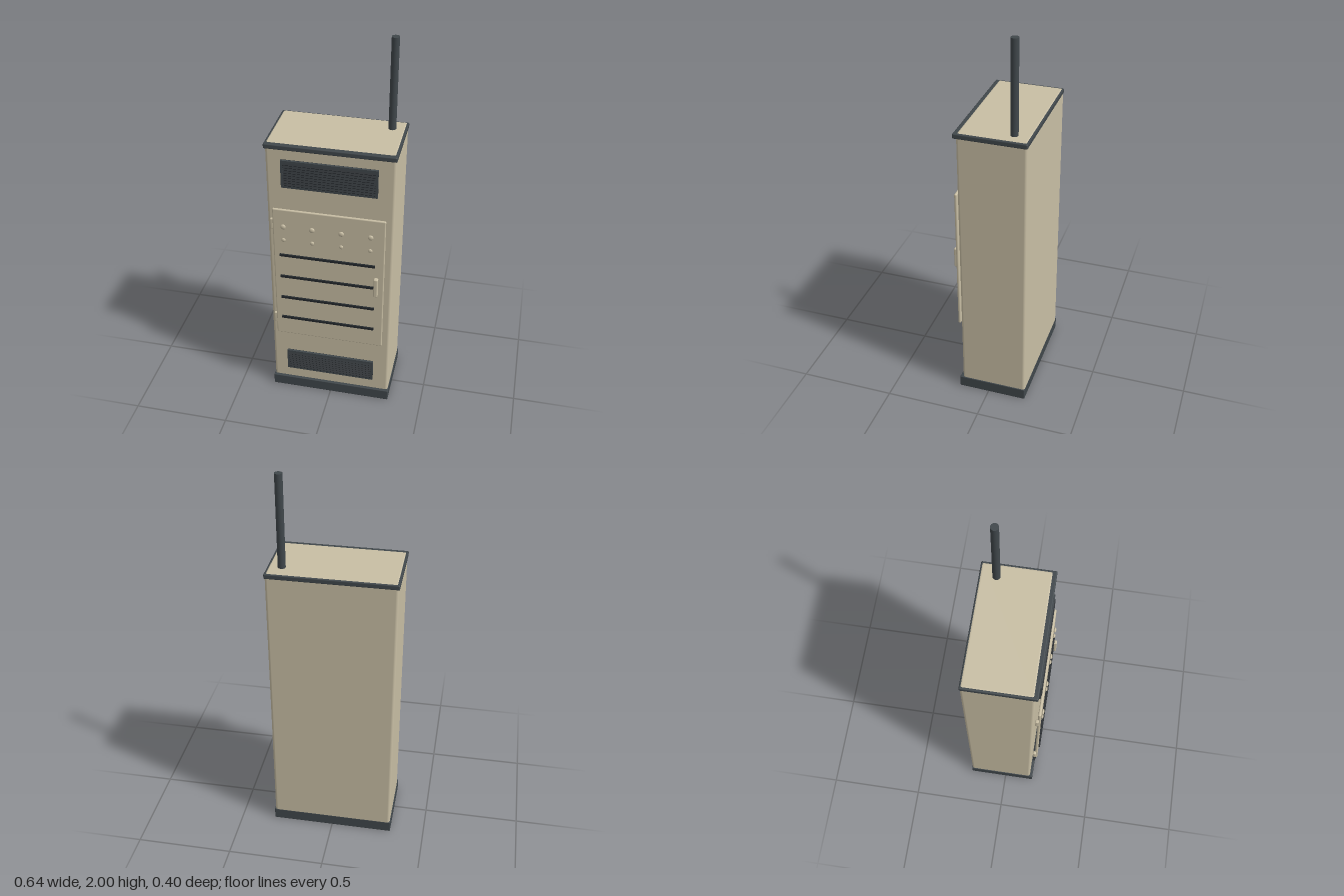
import * as THREE from 'three';
import { RoundedBoxGeometry } from 'three/addons/geometries/RoundedBoxGeometry.js';

export function createModel() {
  const group = new THREE.Group();
  const paint = new THREE.MeshStandardMaterial({ color: 0xc8bea4 });
  paint.name = 'beigePaint';
  const trim = new THREE.MeshStandardMaterial({ color: 0x40474b });
  trim.name = 'darkTrim';
  const black = new THREE.MeshStandardMaterial({ color: 0x23282c });
  black.name = 'blackMetal';

  const add = (name, geometry, material, parent = group) => {
    const mesh = new THREE.Mesh(geometry, material);
    mesh.name = name;
    parent.add(mesh);
    return mesh;
  };
  // Box given by its limits; r > 0 rounds the edges
  const block = (name, [x0, x1], [y0, y1], [z0, z1], material, r = 0, parent = group) => {
    const size = [x1 - x0, y1 - y0, z1 - z0];
    const geometry = r ? new RoundedBoxGeometry(...size, 3, r) : new THREE.BoxGeometry(...size);
    const mesh = add(name, geometry, material, parent);
    mesh.position.set((x0 + x1) / 2, (y0 + y1) / 2, (z0 + z1) / 2);
    return mesh;
  };

  // Cabinet with plinth and top trim
  block('cabinet', [-0.317, 0.317], [0.002, 1.53], [-0.2, 0.145], paint, 0.014);
  block('plinth', [-0.321, 0.321], [0, 0.062], [-0.201, 0.16], trim, 0.004);
  block('topTrim', [-0.321, 0.321], [1.502, 1.528], [-0.201, 0.16], trim, 0.006);

  // Antenna mast
  const mast = add('mast', new THREE.CylinderGeometry(0.019, 0.019, 0.48, 24), trim);
  mast.position.set(0.25, 1.76, -0.118);

  // Louvred vents above and below the door
  const vent = (name, y0, y1, count) => {
    const g = new THREE.Group();
    g.name = name;
    group.add(g);
    const x0 = -0.238, x1 = 0.235, b = 0.012, z = [0.152, 0.164];
    block('ventBack', [x0, x1], [y0, y1], [0.151, 0.155], black, 0, g);
    block('ventFrameTop', [x0, x1], [y1 - b, y1], z, trim, 0, g);
    block('ventFrameBottom', [x0, x1], [y0, y0 + b], z, trim, 0, g);
    block('ventFrameSide', [x0, x0 + b], [y0, y1], z, trim, 0, g);
    block('ventFrameSide', [x1 - b, x1], [y0, y1], z, trim, 0, g);
    const step = (y1 - y0 - 2 * b) / count;
    for (let i = 0; i < count; i++) {
      const y = y0 + b + step * (i + 0.5);
      const slat = block('louvre', [x0 + b, x1 - b], [y - 0.002, y + 0.002], [0.153, 0.168], black, 0, g);
      slat.rotation.x = 0.6;
    }
  };
  vent('upperVent', 1.3, 1.45, 9);
  vent('lowerVent', 0.135, 0.26, 7);

  // Door with hinges and handle
  block('door', [-0.285, 0.281], [0.395, 1.18], [0.162, 0.176], paint, 0.006);
  for (const y of [0.487, 1.083]) {
    block('hinge', [-0.301, -0.283], [y - 0.031, y + 0.031], [0.152, 0.168], paint, 0.005);
  }
  block('handle', [0.231, 0.253], [0.733, 0.842], [0.174, 0.198], paint, 0.006);

  // Dark strips across the door
  for (const y of [0.911, 0.778, 0.643, 0.51]) {
    block('doorStrip', [-0.253, 0.235], [y - 0.006, y + 0.006], [0.174, 0.185], black);
  }

  // Two rows of flattened knobs
  for (const [y, r] of [[1.083, 0.014], [1.005, 0.011]]) {
    for (const x of [-0.23, -0.084, 0.063, 0.209]) {
      const knob = add('knob', new THREE.SphereGeometry(r, 16, 10), paint);
      knob.scale.z = 0.5;
      knob.position.set(x, y, 0.181);
    }
  }
  return group;
}
